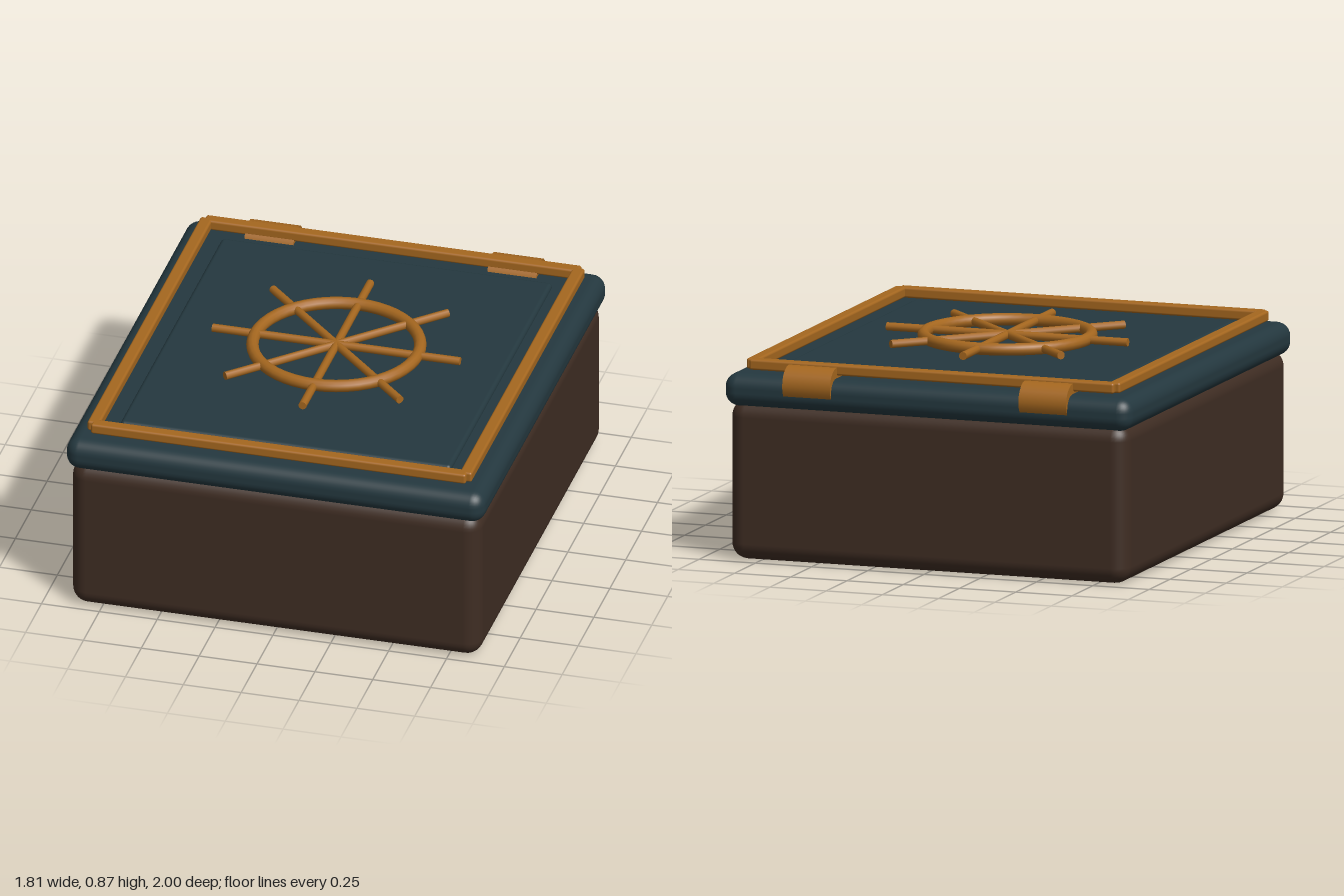
import * as THREE from 'three';
import { RoundedBoxGeometry } from 'three/addons/geometries/RoundedBoxGeometry.js';

const material = (name, color) => {
  const m = new THREE.MeshStandardMaterial({ color });
  m.name = name;
  return m;
};

export function createModel() {
  const wood = material('dark wood', 0x3f2d23);
  const teal = material('deep teal', 0x24383f);
  const brass = material('aged brass', 0xa5671f);
  const CZ = 0.006; // body sits slightly forward, the hinges stick out behind

  const model = new THREE.Group();
  model.name = 'box';

  const add = (parent, name, geometry, mat, x = 0, y = 0, z = 0) => {
    const mesh = new THREE.Mesh(geometry, mat);
    mesh.name = name;
    mesh.position.set(x, y, z);
    parent.add(mesh);
    return mesh;
  };
  const rounded = (name, w, y0, y1, d, r, mat, x = 0, z = CZ, parent = model) =>
    add(parent, name, new RoundedBoxGeometry(w, y1 - y0, d, 4, r), mat, x, (y0 + y1) / 2, z);

  // Body, lid and raised panel
  rounded('body', 1.77, 0, 0.675, 1.95, 0.07, wood);
  rounded('lid', 1.81, 0.65, 0.79, 1.985, 0.06, teal);
  rounded('lidPanel', 1.43, 0.76, 0.81, 1.61, 0.018, teal, 0, 0.002);

  // Border trim: four bars that cross at the corners
  const trim = new THREE.Group();
  trim.name = 'trim';
  model.add(trim);
  for (const s of [-1, 1]) {
    rounded('trimAcross', 1.62, 0.8, 0.845, 0.053, 0.01, brass, 0, 0.003 + s * 0.891, trim);
    rounded('trimAlong', 0.053, 0.8, 0.845, 1.79, 0.01, brass, s * 0.804, 0.003, trim);
  }

  // Ship's wheel emblem
  const wheel = new THREE.Group();
  wheel.name = 'wheel';
  wheel.position.y = 0.845;
  model.add(wheel);
  add(wheel, 'rim', new THREE.TorusGeometry(0.35, 0.026, 12, 48), brass).rotation.x = Math.PI / 2;
  for (let i = 0; i < 4; i++) {
    const spoke = add(wheel, 'spoke', new THREE.CylinderGeometry(0.0175, 0.0175, 1.07, 10), brass);
    spoke.rotation.set(Math.PI / 2, 0, (i * Math.PI) / 4);
  }

  // Hinge barrels along the back edge
  for (const s of [-1, 1]) {
    const hinge = add(model, 'hinge', new THREE.CylinderGeometry(0.08, 0.08, 0.212, 20), brass, s * 0.525, 0.755, -0.92);
    hinge.rotation.z = Math.PI / 2;
  }
  return model;
}
